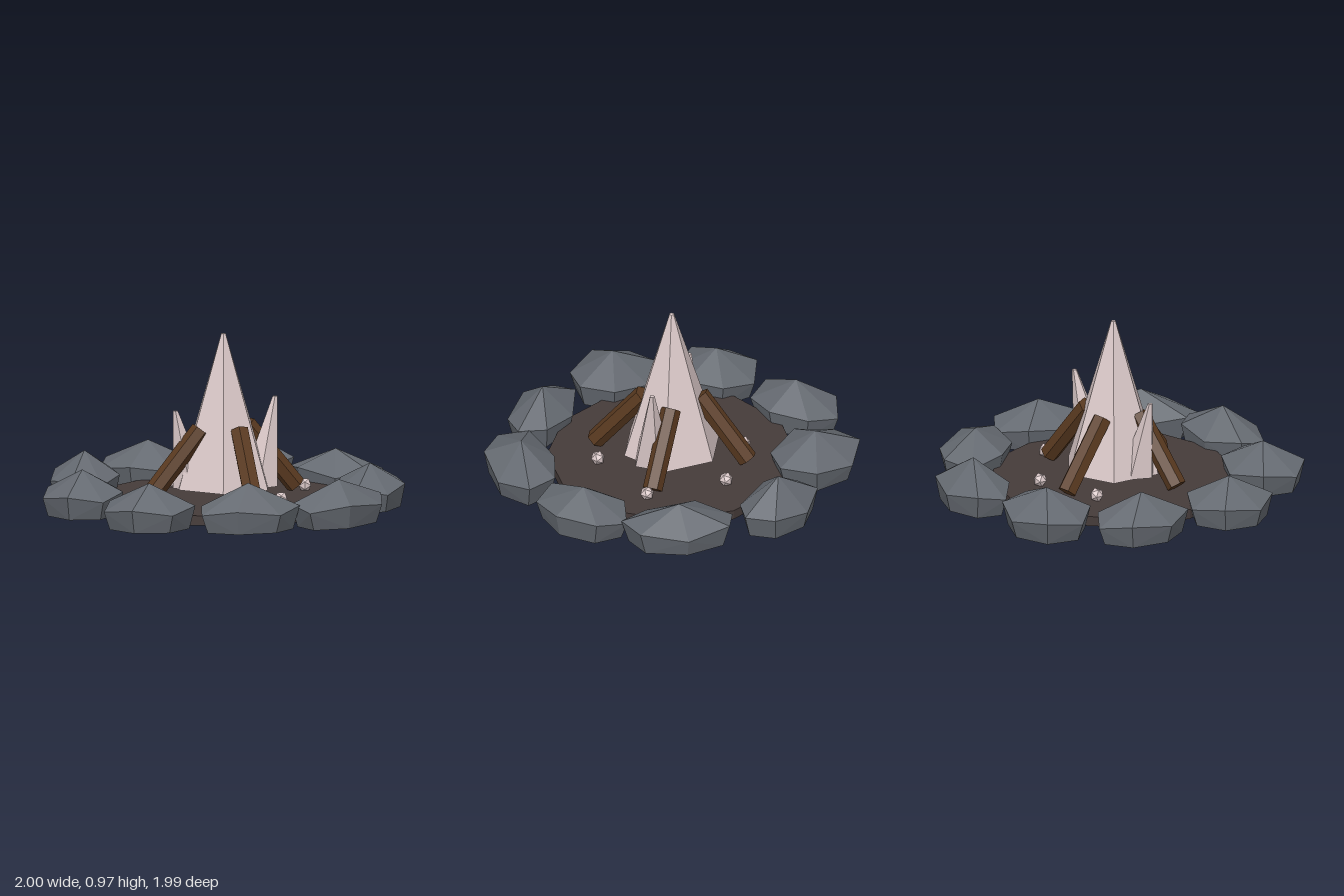
import * as THREE from 'three';
import { ConvexGeometry } from 'three/addons/geometries/ConvexGeometry.js';

const mat = (name, color) => {
  const m = new THREE.MeshStandardMaterial({ color, flatShading: true });
  m.name = name;
  return m;
};
const V = (x, y, z) => new THREE.Vector3(x, y, z);
const rad = THREE.MathUtils.degToRad;

// Each stone: x, z, half length, half depth, height, turn in degrees
const STONES = [
  [-0.42, -0.68, 0.27, 0.23, 0.25, 0],
  [0.12, -0.83, 0.26, 0.18, 0.28, 0],
  [0.62, -0.52, 0.31, 0.19, 0.23, 45],
  [0.81, 0.00, 0.19, 0.28, 0.24, 0],
  [0.64, 0.56, 0.32, 0.19, 0.245, -50],
  [0.14, 0.79, 0.28, 0.165, 0.265, -14],
  [-0.41, 0.72, 0.25, 0.22, 0.25, 0],
  [-0.78, 0.28, 0.22, 0.24, 0.25, 0],
  [-0.77, -0.28, 0.19, 0.27, 0.26, 0],
];

// Faceted boulder: apex, uneven seven-sided waist and a flat inset foot
function stoneGeometry(length, depth, height) {
  const points = [V(0, height, 0)];
  for (let i = 0; i < 7; i++) {
    const a = rad(8) + i * Math.PI * 2 / 7;
    const x = Math.cos(a) * length * 1.04, z = Math.sin(a) * depth * 1.04;
    points.push(V(x, i % 2 ? 0.10 : 0.13, z), V(x * 0.87, 0, z * 0.87));
  }
  return new ConvexGeometry(points);
}

// Tapered spike with a level base whose tip is shifted sideways
function flameGeometry(radius, height, sides, dx, dz) {
  const g = new THREE.CylinderGeometry(0.014, radius, height, sides);
  g.translate(0, height / 2, 0);
  const p = g.attributes.position;
  for (let i = 0; i < p.count; i++) {
    const t = p.getY(i) / height;
    p.setX(i, p.getX(i) + dx * t);
    p.setZ(i, p.getZ(i) + dz * t);
  }
  g.computeVertexNormals();
  return g;
}

export function createModel() {
  const model = new THREE.Group();
  model.name = 'campfire';
  const stone = mat('stone grey', 0x656a71);
  const ash = mat('ash brown', 0x453b39);
  const wood = mat('wood brown', 0x5a3a20);
  const flame = mat('pale flame', 0xdac8c8);

  const fire = new THREE.Group();
  fire.name = 'fire';
  fire.position.z = 0.015;
  model.add(fire);
  const add = (name, geometry, material, x = 0, y = 0, z = 0) => {
    const mesh = new THREE.Mesh(geometry, material);
    mesh.name = name;
    mesh.position.set(x, y, z);
    fire.add(mesh);
    return mesh;
  };

  // Ash bed
  const bed = new THREE.CylinderGeometry(0.69, 0.69, 0.055, 12, 1, false, rad(7));
  add('ashBed', bed, ash, 0, 0.0285, 0);

  // Ring of stones
  STONES.forEach(([x, z, length, depth, height, turn], i) => {
    add(`stone${i + 1}`, stoneGeometry(length, depth, height), stone, x, 0, z).rotation.y = -rad(turn);
  });

  // Main flame and two side flames
  add('mainFlame', flameGeometry(0.285, 0.855, 6, 0, 0), flame, 0, 0.11, 0);
  add('leftFlame', flameGeometry(0.11, 0.49, 5, 0.09, -0.07), flame, 0.195, 0.11, -0.01);
  add('rightFlame', flameGeometry(0.105, 0.435, 5, -0.085, 0.03), flame, -0.18, 0.11, 0.05);

  // Four logs leaning on the flame, a quarter turn apart
  const top = V(0.09, 0.44, 0.125), foot = V(0.17, 0.085, 0.40);
  const axis = top.clone().sub(foot);
  const logGeometry = new THREE.CylinderGeometry(0.055, 0.055, axis.length(), 6);
  logGeometry.applyQuaternion(new THREE.Quaternion().setFromUnitVectors(V(0, 1, 0), axis.clone().normalize()));
  const middle = top.clone().add(foot).multiplyScalar(0.5);
  logGeometry.translate(middle.x, middle.y, middle.z);
  for (let i = 0; i < 4; i++) add(`log${i + 1}`, logGeometry, wood).rotation.y = i * Math.PI / 2;

  // Small embers
  const emberGeometry = new THREE.IcosahedronGeometry(0.04, 0);
  [[0.07, -0.43], [-0.29, -0.28], [0.32, 0.27], [0.45, -0.17]].forEach(([x, z], i) => {
    add(`ember${i + 1}`, emberGeometry, flame, x, 0.085, z);
  });

  return model;
}
